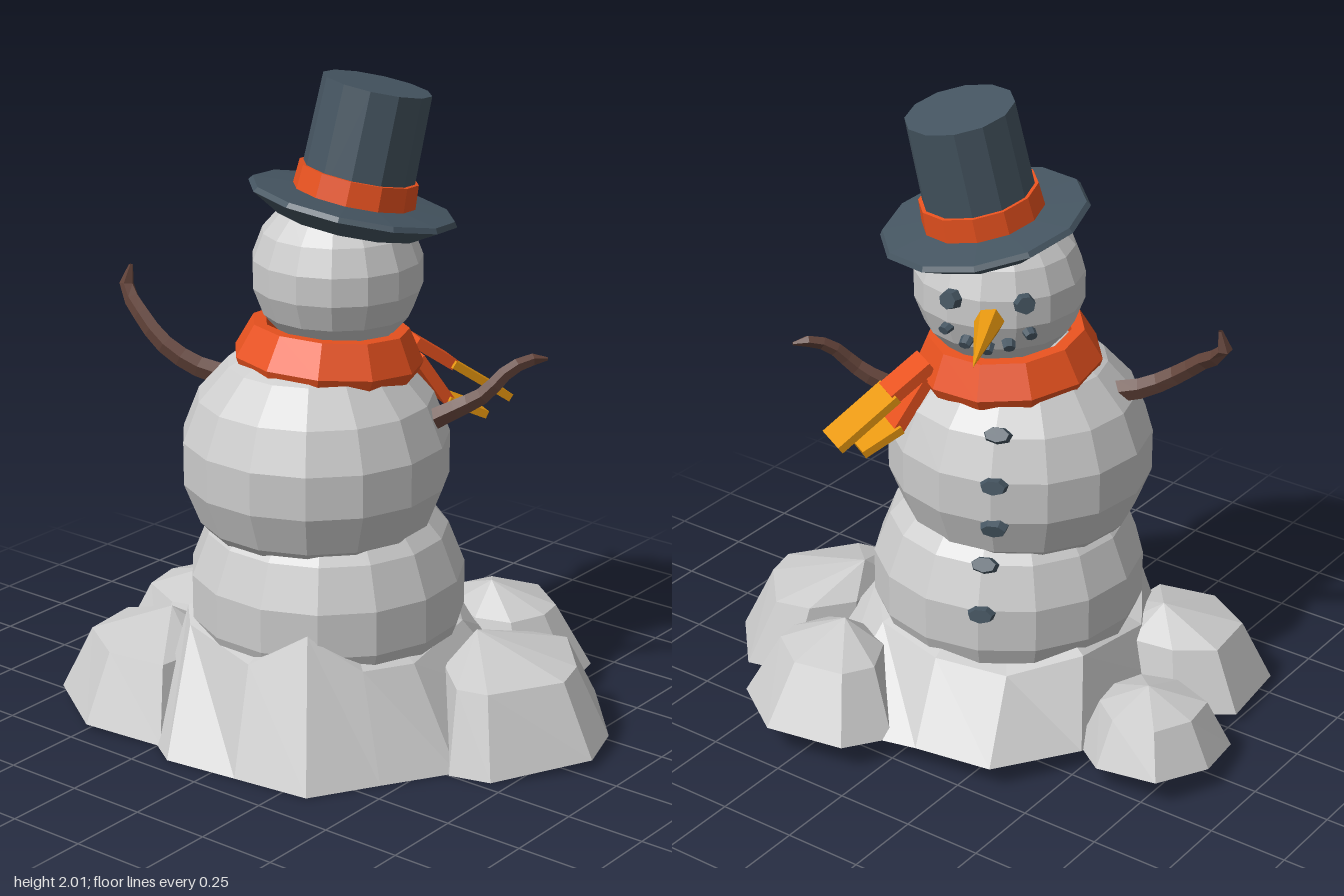
import * as THREE from 'three';

const mat = (color) => new THREE.MeshStandardMaterial({ color, flatShading: true, side: THREE.DoubleSide });
const SNOW = mat(0xcccccc), SLATE = mat(0x455561), SCARF = mat(0xe8521f), GOLD = mat(0xe8980f), BARK = mat(0x614239);
const UP = new THREE.Vector3(0, 1, 0);
const V = (x, y, z) => new THREE.Vector3(x, y, z);

export function createModel() {
  const root = new THREE.Group();
  const add = (name, geo, material, parent = root) => {
    const m = new THREE.Mesh(geo, material);
    m.name = name;
    parent.add(m);
    return m;
  };
  const lathe = (pts, n) => new THREE.LatheGeometry(pts.map(p => new THREE.Vector2(...p)), n);

  // Snow balls: centre, horizontal radius, vertical radius
  const balls = {
    lowerBody: { c: V(-0.015, 0.42, 0.095), r: 0.43, h: 0.40 },
    upperBody: { c: V(-0.04, 0.85, 0.12), r: 0.415, h: 0.385 },
    head: { c: V(-0.01, 1.42, 0.05), r: 0.262, h: 0.25 },
  };
  for (const [name, b] of Object.entries(balls)) {
    const m = add(name, new THREE.SphereGeometry(1, 15, 9), SNOW);
    m.scale.set(b.r, b.h, b.r);
    m.position.copy(b.c);
    m.rotation.y = 0.5;
  }

  // Snow drifts: rings of points lofted up to an apex, over gently rising ground
  const ground = (x, z) => Math.max(0, (0.25 - z) * 0.095) + Math.max(0, (-x - 0.3) * 0.08);
  function loft(rings, apex) {
    const pos = [], n = rings[0].length;
    const tri = (...ps) => ps.forEach(p => pos.push(p.x, p.y, p.z));
    const mid = rings[0].reduce((s, p) => s.add(p), V(0, 0, 0)).divideScalar(n);
    for (let i = 0; i < n; i++) {
      const j = (i + 1) % n;
      for (let k = 0; k + 1 < rings.length; k++) {
        const a = rings[k], b = rings[k + 1];
        tri(a[i], b[i], b[j]);
        tri(a[i], b[j], a[j]);
      }
      const top = rings[rings.length - 1];
      tri(top[i], apex, top[j]);
      tri(rings[0][i], rings[0][j], mid);
    }
    const g = new THREE.BufferGeometry();
    g.setAttribute('position', new THREE.Float32BufferAttribute(pos, 3));
    g.computeVertexNormals();
    return g;
  }
  const drifts = [
    ['rightDrift', V(-0.64, 0.27, -0.05), 0.3,
      [[-.43, 0], [-.48, .14], [-.64, .19], [-.85, .1], [-.88, -.08], [-.8, -.25], [-.6, -.27], [-.46, -.16]]],
    ['frontRightDrift', V(-0.45, 0.31, 0.33), 0.28,
      [[-.22, .45], [-.24, .63], [-.5, .68], [-.73, .54], [-.76, .28], [-.6, .17], [-.4, .15], [-.28, .25]]],
    ['backDrift', V(0.27, 0.35, -0.38), 0.36,
      [[.56, -.42], [.48, -.25], [.3, -.2], [.1, -.3], [0, -.5], [.08, -.65], [.33, -.7], [.54, -.55]]],
    ['leftDrift', V(0.45, 0.34, -0.05), 0.25,
      [[.88, -.05], [.7, .22], [.57, .25], [.4, .1], [.38, -.2], [.5, -.37], [.65, -.41], [.84, -.2]]],
  ];
  for (const [name, apex, inset, outline] of drifts) {
    const base = outline.map(([x, z]) => V(x, ground(x, z), z));
    const shoulder = base.map(p => {
      const q = p.clone().lerp(apex, inset);
      q.y = p.y + (apex.y - p.y) * 0.72;
      return q;
    });
    add(name, loft([base, shoulder], apex), SNOW);
  }
  // Wide skirt of snow with uneven peaks: base x, base z, top x, top y, top z
  const skirt = [
    [.58, .22, .40, .30, .2], [.45, .43, .33, .31, .36], [.33, .63, .2, .42, .46], [.08, .66, .03, .31, .53],
    [-.16, .69, -.26, .34, .46], [-.3, .6, -.32, .37, .4], [-.5, .4, -.42, .26, .25], [-.5, -.2, -.42, .31, -.08],
    [-.34, -.46, -.26, .27, -.26], [-.09, -.5, -.05, .3, -.34], [.2, -.58, .2, .31, -.28], [.52, -.25, .36, .33, -.1],
  ];
  add('snowSkirt', loft([skirt.map(([x, z]) => V(x, z > 0 ? 0 : ground(x, z), z)),
    skirt.map(([, , x, y, z]) => V(x, y, z))], V(0, 0.5, 0.09)), SNOW);

  // Direction the face looks, turned by an angle from the back axis
  const facing = (a) => V(-Math.sin(a), 0, -Math.cos(a));
  // Lump of coal lying on the surface of a ball at a heading and height
  function coal(name, ball, heading, y, rx, ry) {
    const t = (y - ball.c.y) / ball.h, k = Math.sqrt(1 - t * t);
    const f = facing(heading);
    const m = add(name, new THREE.CylinderGeometry(0.75, 1, 0.05, 7).rotateX(Math.PI / 2), SLATE);
    m.scale.set(rx, ry, 1);
    m.position.copy(ball.c).addScaledVector(f, ball.r * k * 0.985);
    m.position.y = y;
    const out = V(f.x * k / ball.r, t / ball.h, f.z * k / ball.r);
    m.lookAt(m.position.clone().add(out));
  }
  const FACE = 0.47;
  for (const s of [-1, 1]) {
    coal('eye', balls.head, FACE + s * 0.43, 1.455, 0.038, 0.036);
    coal('mouthCoal', balls.head, FACE + s * 0.5, 1.36, 0.024, 0.018);
    coal('mouthCoal', balls.head, FACE + s * 0.26, 1.325, 0.024, 0.018);
  }
  coal('mouthCoal', balls.head, FACE, 1.31, 0.024, 0.018);
  for (const y of [0.77, 0.91, 1.05]) coal('button', balls.upperBody, 0.42, y, 0.05, 0.03);
  for (const y of [0.48, 0.62]) coal('button', balls.lowerBody, 0.42, y, 0.05, 0.03);

  // Carrot nose
  const tip = V(-0.26, 1.39, -0.43), noseBase = V(-0.13, 1.4, -0.17);
  const nose = add('nose', new THREE.ConeGeometry(0.045, tip.distanceTo(noseBase), 6), GOLD);
  nose.position.copy(tip).lerp(noseBase, 0.5);
  nose.quaternion.setFromUnitVectors(UP, tip.clone().sub(noseBase).normalize());

  // Scarf ring and its two tails
  const scarf = add('scarf', lathe([[.2, -.06], [.275, -.065], [.29, -.03], [.24, .07], [.2, .07], [.2, -.06]], 11), SCARF);
  scarf.position.set(-0.02, 1.185, 0.08);
  scarf.rotation.set(-0.08, 0, -0.03);
  function strip(name, p, q, w, t, material) {
    const m = add(name, new THREE.BoxGeometry(w, t, p.distanceTo(q) + 0.01), material);
    m.position.copy(p).lerp(q, 0.5);
    m.lookAt(q);
  }
  const tails = [
    [V(0.13, 1.18, -0.14), V(0.19, 1.1, -0.24), V(0.28, 0.975, -0.4)],
    [V(0.14, 1.13, -0.14), V(0.19, 0.99, -0.22), V(0.25, 0.935, -0.32)],
  ];
  for (const [a, b, c] of tails) {
    strip('scarfTail', a, b, 0.1, 0.035, SCARF);
    strip('scarfTailEnd', b, c, 0.125, 0.025, GOLD);
  }

  // Twig arms: tapered tubes
  function twig(name, pts, r0, r1) {
    const curve = new THREE.CatmullRomCurve3(pts.map(p => V(...p)));
    const n = 9, sides = 5;
    const g = new THREE.TubeGeometry(curve, n, 1, sides);
    const p = g.attributes.position, v = V(0, 0, 0);
    for (let i = 0; i < p.count; i++) {
      const t = Math.floor(i / (sides + 1)) / n;
      const c = curve.getPointAt(t);
      const r = t === 1 ? r1 * 0.3 : r0 + (r1 - r0) * t;
      v.fromBufferAttribute(p, i).sub(c).multiplyScalar(r).add(c);
      p.setXYZ(i, v.x, v.y, v.z);
    }
    g.computeVertexNormals();
    add(name, g, BARK);
  }
  twig('rightArm', [[-.28, 1.06, .2], [-.4, 1.09, .25], [-.5, 1.15, .285], [-.6, 1.23, .28], [-.68, 1.29, .25], [-.67, 1.36, .24]], 0.036, 0.022);
  twig('leftArm', [[.28, .98, -.01], [.36, 1.03, -.08], [.42, 1.07, -.11], [.47, 1.14, -.16], [.51, 1.17, -.21], [.545, 1.17, -.26]], 0.034, 0.017);

  // Tilted top hat
  const hat = new THREE.Group();
  hat.name = 'hat';
  root.add(hat);
  hat.position.set(0.015, 1.6, 0.015);
  hat.quaternion.setFromUnitVectors(UP, V(0.13, 1, -0.17).normalize());
  add('hatBrim', lathe([[0, -.035], [.23, -.035], [.32, .02], [.31, .035], [.17, .045], [0, .045]], 12), SLATE, hat);
  add('hatCrown', new THREE.CylinderGeometry(0.165, 0.172, 0.35, 12), SLATE, hat).position.y = 0.21;
  add('hatBand', new THREE.CylinderGeometry(0.182, 0.188, 0.085, 12), SCARF, hat).position.y = 0.075;

  return root;
}
